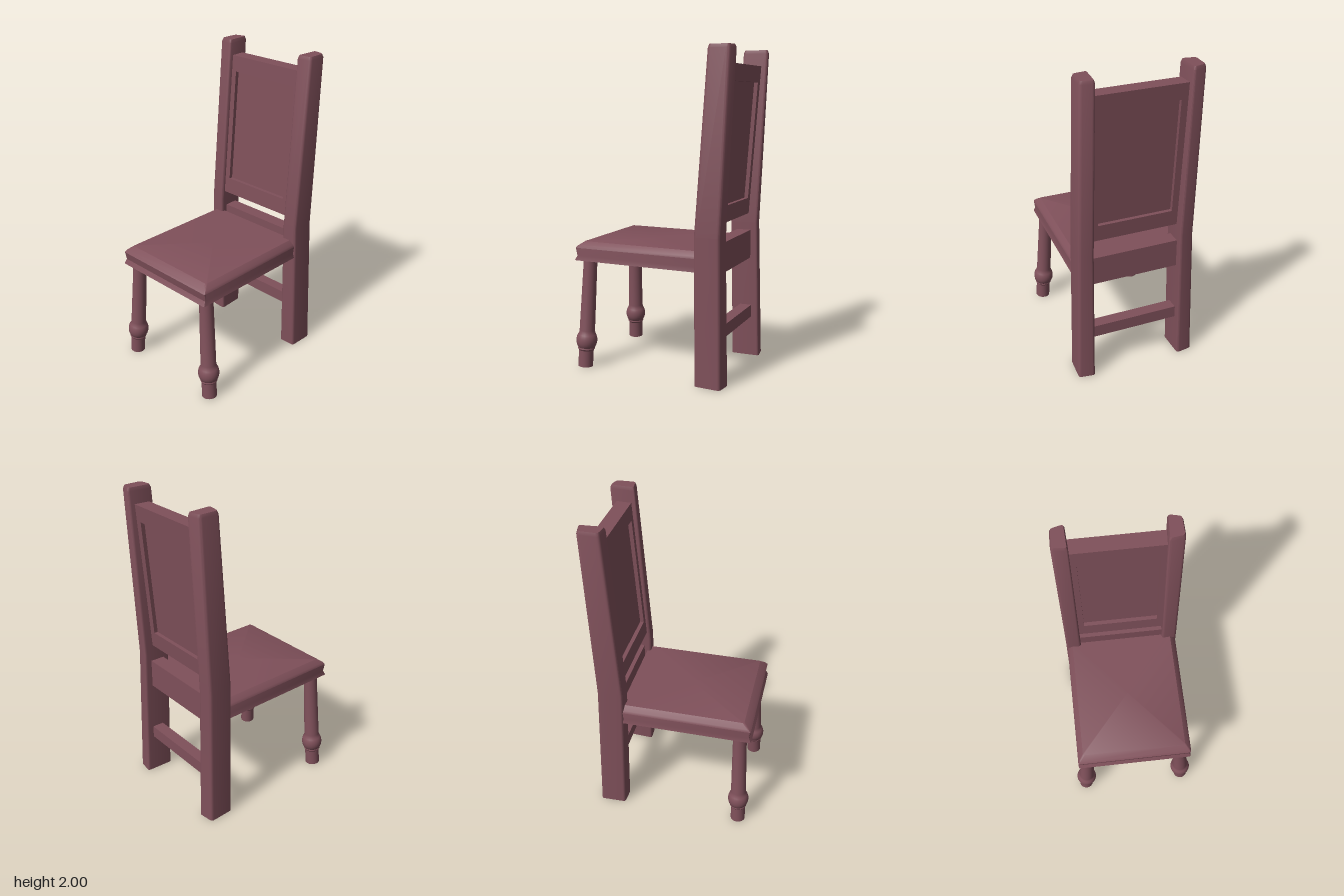
import * as THREE from 'three';
import { toCreasedNormals } from 'three/addons/utils/BufferGeometryUtils.js';

const wood = new THREE.MeshStandardMaterial({ color: 0x7f505a });

function part(name, geometry) {
  const mesh = new THREE.Mesh(geometry, wood);
  mesh.name = name;
  return mesh;
}

// Four [x, z] corners turned into a ring with rounded corners
function roundedRing(corners, radius, steps = 4) {
  const pts = corners.map(([x, z]) => new THREE.Vector2(x, z));
  const ring = [];
  pts.forEach((p, i) => {
    const toward = (q) => p.clone().add(q.clone().sub(p).setLength(radius));
    const before = toward(pts[(i + 3) % 4]);
    const after = toward(pts[(i + 1) % 4]);
    ring.push(...new THREE.QuadraticBezierCurve(before, p, after).getPoints(steps));
  });
  return ring;
}

// Closed solid through horizontal rings, each { y, ring }, bottom to top
function loft(levels) {
  const n = levels[0].ring.length;
  const pos = [];
  const index = [];
  for (const { y, ring } of levels) for (const p of ring) pos.push(p.x, y, p.y);
  for (let i = 0; i < levels.length - 1; i++) {
    for (let j = 0; j < n; j++) {
      const a = i * n + j, b = i * n + (j + 1) % n;
      index.push(a, b, b + n, a, b + n, a + n);
    }
  }
  [0, levels.length - 1].forEach((l, end) => {
    const centre = pos.length / 3;
    const mid = levels[l].ring.reduce((s, p) => s.add(p), new THREE.Vector2()).divideScalar(n);
    pos.push(mid.x, levels[l].y, mid.y);
    for (let j = 0; j < n; j++) {
      const a = l * n + j, b = l * n + (j + 1) % n;
      index.push(centre, end ? a : b, end ? b : a);
    }
  });
  const geometry = new THREE.BufferGeometry();
  geometry.setAttribute('position', new THREE.Float32BufferAttribute(pos, 3));
  geometry.setIndex(index);
  return toCreasedNormals(geometry, 0.6);
}

// Back post: inner back, inner front, outer front, outer back corners per level
function backPost(side) {
  const levels = [
    [0, [[0.29, -0.49], [0.28, -0.305], [0.39, -0.31], [0.395, -0.475]], 0.018],
    [0.9, [[0.28, -0.47], [0.275, -0.288], [0.372, -0.295], [0.372, -0.455]], 0.018],
    [1.98, [[0.28, -0.523], [0.27, -0.36], [0.367, -0.373], [0.365, -0.503]], 0.018],
    [2, [[0.285, -0.515], [0.277, -0.368], [0.36, -0.38], [0.358, -0.497]], 0.016],
  ];
  return loft(levels.map(([y, corners, r]) => {
    const c = corners.map(([x, z]) => [x * side, z]);
    return { y, ring: roundedRing(side > 0 ? c : c.reverse(), r) };
  }));
}

// Seat slab with a sloped top edge and a small cove above the lower lip
function seat() {
  const levels = [
    [0.69, 0.37, 0.52], [0.72, 0.363, 0.505], [0.77, 0.368, 0.513],
    [0.785, 0.36, 0.5], [0.81, 0.332, 0.465],
  ];
  return loft(levels.map(([y, x, z]) => ({
    y, ring: roundedRing([[-x, -0.315], [-x, z], [x, z], [x, -0.315]], 0.01, 2),
  })));
}

// Turned front leg: tapered shaft, ball, and foot
function frontLeg() {
  const profile = [[0, 0], [0.047, 0], [0.047, 0.105], [0.054, 0.115]];
  for (let i = 0; i <= 8; i++) {
    const t = -0.85 + (i / 8) * 1.7;
    profile.push([0.067 * Math.cos(t * 0.8), 0.17 + 0.062 * Math.sin(t)]);
  }
  profile.push([0.049, 0.235], [0.043, 0.7], [0, 0.7]);
  const pts = profile.map(([r, y]) => new THREE.Vector2(r, y));
  return toCreasedNormals(new THREE.LatheGeometry(pts, 24), 0.6);
}

// Lean a geometry backward with height, matching the posts
function lean(geometry) {
  const p = geometry.attributes.position;
  for (let i = 0; i < p.count; i++) p.setZ(i, p.getZ(i) - (p.getY(i) - 0.96) * 0.0745);
  geometry.computeVertexNormals();
  return geometry;
}

function rectangle(target, x, y0, y1) {
  target.moveTo(-x, y0).lineTo(x, y0).lineTo(x, y1).lineTo(-x, y1).closePath();
  return target;
}

function box(w, y0, y1, z0, z1) {
  return new THREE.BoxGeometry(w, y1 - y0, z1 - z0).translate(0, (y0 + y1) / 2, (z0 + z1) / 2);
}

export function createModel() {
  const chair = new THREE.Group();
  chair.name = 'chair';

  chair.add(part('seat', seat()));

  for (const [label, side] of [['left', 1], ['right', -1]]) {
    chair.add(part(label + 'BackPost', backPost(side)));

    // Front legs splay outward and forward toward the floor
    const leg = part(label + 'FrontLeg', frontLeg());
    const foot = new THREE.Vector3(side * 0.35, 0, 0.463);
    const top = new THREE.Vector3(side * 0.305, 0.69, 0.44);
    leg.position.copy(foot);
    leg.quaternion.setFromUnitVectors(new THREE.Vector3(0, 1, 0), top.sub(foot).normalize());
    chair.add(leg);
  }

  // Back frame with a thinner panel set into it
  const frame = rectangle(new THREE.Shape(), 0.285, 0.96, 1.9);
  frame.holes.push(rectangle(new THREE.Path(), 0.238, 1.065, 1.8));
  const frameGeometry = new THREE.ExtrudeGeometry(frame, { depth: 0.095, bevelEnabled: false });
  chair.add(part('backFrame', lean(frameGeometry.translate(0, 0, -0.41))));
  chair.add(part('backPanel', lean(box(0.48, 1.06, 1.805, -0.385, -0.34))));

  // Cross rails between the back posts
  chair.add(part('upperRail', box(0.58, 0.665, 0.85, -0.425, -0.335)));
  chair.add(part('lowerRail', box(0.6, 0.265, 0.345, -0.435, -0.36)));

  return chair;
}
